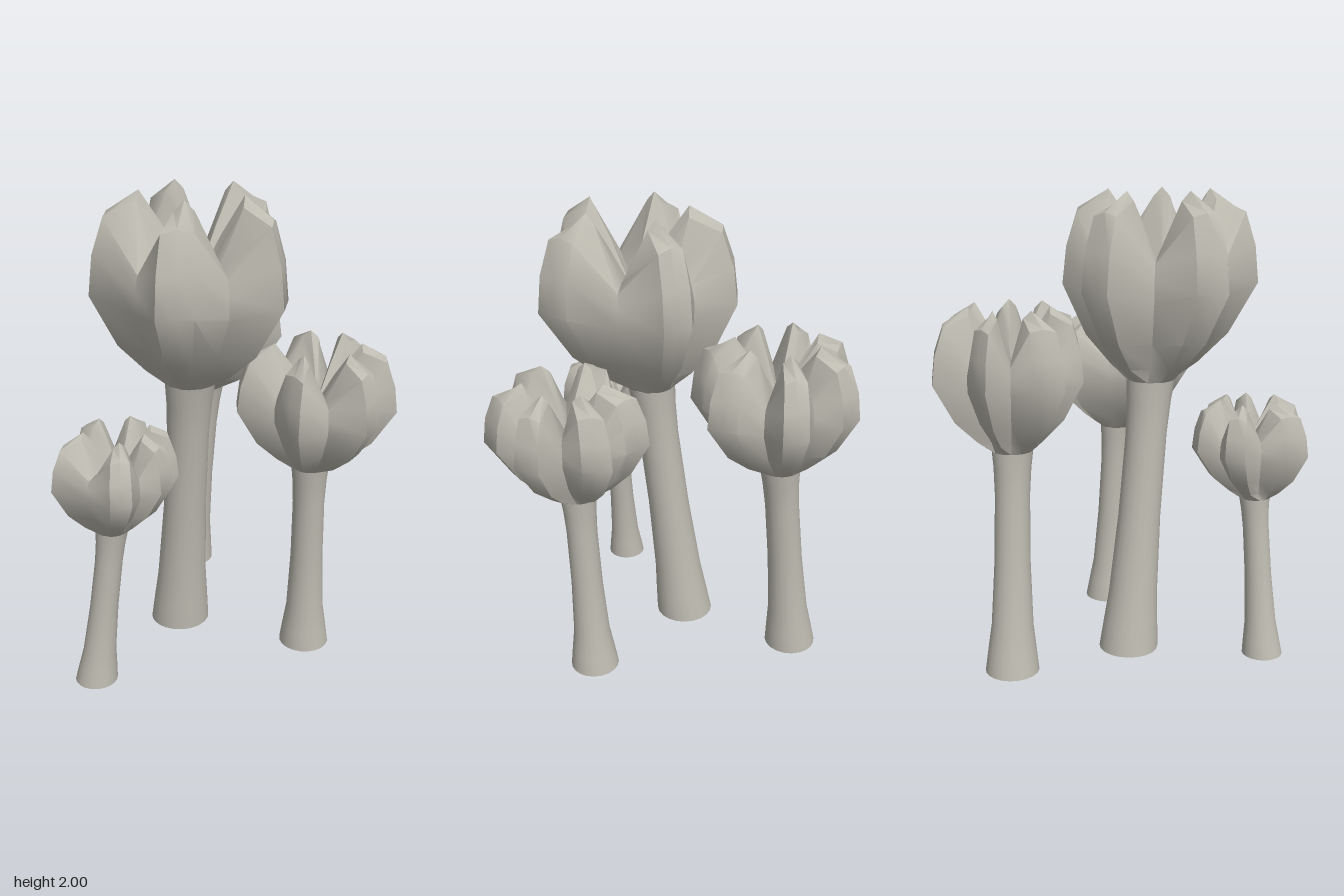
import * as THREE from 'three';
import { toCreasedNormals } from 'three/addons/utils/BufferGeometryUtils.js';

const V = (x, y, z) => new THREE.Vector3(x, y, z);
const lerp = THREE.MathUtils.lerp;

// Skin closed rings of equal length, listed from the bottom up
function loft(rings, crease) {
  const pos = [];
  const tri = (a, b, c) => {
    const area = b.clone().sub(a).cross(c.clone().sub(a)).length();
    if (area > 1e-8) for (const p of [a, b, c]) pos.push(p.x, p.y, p.z);
  };
  for (let j = 0; j < rings.length - 1; j++) {
    const lo = rings[j], hi = rings[j + 1], n = lo.length;
    for (let i = 0; i < n; i++) {
      const k = (i + 1) % n;
      tri(lo[i], hi[i], hi[k]);
      tri(lo[i], hi[k], lo[k]);
    }
  }
  const g = new THREE.BufferGeometry();
  g.setAttribute('position', new THREE.Float32BufferAttribute(pos, 3));
  return toCreasedNormals(g, crease);
}

// Leaning stem with a flared foot
function stemGeometry(p) {
  const [x0, z0, r0] = p.base, [x1, y1, z1, r1] = p.top;
  const mid = r1 * 0.85;
  const profile = [[0, 0], [0, r0], [0.1, lerp(r0, r1, 0.42)], [0.21, lerp(r0, r1, 0.92)],
    [0.5, lerp(r1, mid, 0.8)], [0.8, mid], [0.92, lerp(r1, mid, 0.6)], [1, r1]];
  return loft(profile.map(([t, r]) => Array.from({ length: 20 }, (_, i) => {
    const a = i / 20 * Math.PI * 2;
    return V(lerp(x0, x1, t) + r * Math.cos(a), t * y1, lerp(z0, z1, t) + r * Math.sin(a));
  })), 0.8);
}

// Rows up the outside and down into the cup:
// [petal reach, tip height, corner height, valley reach, valley height]
const ROWS = [
  [0.45, 0.08, 0.08, 0.48, 0.08],
  [0.73, 0.23, 0.23, 0.74, 0.22],
  [1.00, 0.50, 0.50, 1.00, 0.45],
  [0.96, 0.70, 0.70, 1.00, 0.56],
  [0.85, 0.90, 0.88, 0.95, 0.64],
  [0.54, 1.00, 0.95, 0.68, 0.67],
  [0.28, 0.80, 0.75, 0.34, 0.62],
];

// Widest outline in plan: each petal has a blunt, tilted tip and a valley after it
function outline({ petals, halfWidth, valley }) {
  const tips = petals.map(([deg, reach, tilt]) => {
    const a = deg * Math.PI / 180, out = V(Math.cos(a), 0, Math.sin(a)), side = V(-out.z, 0, out.x);
    return [-1, 0, 1].map(s => out.clone().multiplyScalar(reach + s * tilt).addScaledVector(side, s * halfWidth));
  });
  return tips.flatMap(([c1, tip, c2], i) => {
    const next = tips[(i + 1) % tips.length][0];
    const dip = c2.clone().add(next).setLength((c2.length() + next.length()) / 2 * valley);
    return [['corner', c1], ['tip', tip], ['corner', c2], ['valley', dip]];
  });
}

// Lobed crown of folded petals
function crownGeometry(p) {
  const [sx, y0, sz, sr] = p.top, [cx, cz] = p.centre, h = p.height - y0;
  const cols = outline(p);
  const rings = [cols.map(([, v]) => v.clone().setLength(sr).add(V(sx, y0, sz)))];
  ROWS.forEach(([reach, tip, corner, valleyReach, valley], j) => {
    const s = Math.min(1, (j + 1) / 3), heights = { tip, corner, valley };
    rings.push(cols.map(([kind, v]) => v.clone()
      .multiplyScalar(kind === 'valley' ? valleyReach : reach)
      .add(V(lerp(sx, cx, s), y0 + heights[kind] * h, lerp(sz, cz, s)))));
  });
  rings.push(cols.map(() => V(cx, y0 + 0.55 * h, cz)));
  return loft(rings, 0.75);
}

// base: x, z, radius; top: x, y, z, radius
// petals: angle in degrees, reach, tilt of the tip
const tallPlant = {
  base: [-0.16, 0.05, 0.13], top: [-0.12, 1.2, 0.19, 0.105],
  centre: [-0.1, 0.26], height: 2, halfWidth: 0.068, valley: 0.7,
  petals: [[-104, 0.444, 0], [-44, 0.431, 0.01], [37, 0.393, 0.025], [108, 0.395, 0.025], [188, 0.404, -0.012]],
};
const rightPlant = {
  base: [0.365, 0.315, 0.107], top: [0.357, 0.87, 0.36, 0.078],
  centre: [0.37, 0.39], height: 1.41, halfWidth: 0.055, valley: 0.67,
  petals: [[-89, 0.31, -0.03], [-44, 0.315, -0.024], [8, 0.313, 0], [59, 0.314, 0.02],
    [123, 0.304, -0.035], [187, 0.322, 0]],
};
const backPlant = {
  base: [-0.06, -0.495, 0.115], top: [0.015, 0.95, -0.43, 0.087],
  centre: [0.03, -0.41], height: 1.55, halfWidth: 0.055, valley: 0.72,
  petals: [[-122, 0.308, -0.035], [-74, 0.337, -0.01], [-25, 0.342, 0.008], [27, 0.342, 0.025],
    [75, 0.336, 0.025], [132, 0.29, 0.01], [185, 0.321, -0.027]],
};
const smallPlant = {
  base: [-0.557, 0.49, 0.088], top: [-0.47, 0.7, 0.495, 0.066],
  centre: [-0.43, 0.48], height: 1.13, halfWidth: 0.042, valley: 0.71,
  petals: [[-125, 0.233, 0], [-66, 0.235, 0], [-8, 0.227, 0], [37, 0.218, 0], [92, 0.265, 0.01], [169, 0.255, -0.027]],
};

export function createModel() {
  const model = new THREE.Group();
  const stone = new THREE.MeshStandardMaterial({ color: 0xbdbab0, side: THREE.DoubleSide });
  stone.name = 'warm grey';
  for (const [plantName, p] of Object.entries({ tallPlant, rightPlant, backPlant, smallPlant })) {
    const plant = new THREE.Group();
    plant.name = plantName;
    for (const [name, geometry] of [['stem', stemGeometry(p)], ['crown', crownGeometry(p)]]) {
      const mesh = new THREE.Mesh(geometry, stone);
      mesh.name = name;
      plant.add(mesh);
    }
    model.add(plant);
  }
  return model;
}
